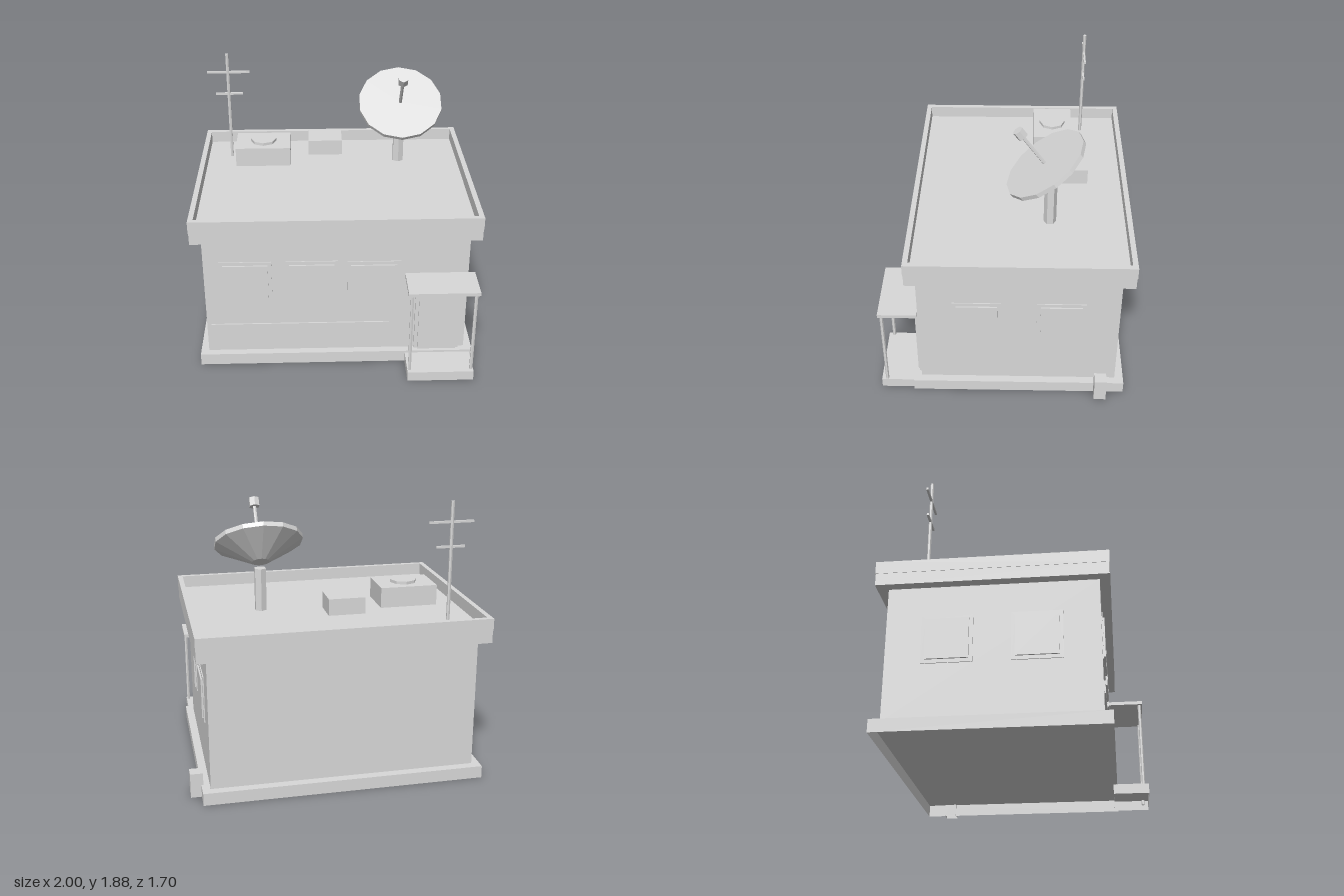
import * as THREE from 'three';

// Double-sided because the parts touching the ground are open underneath
const grey = new THREE.MeshStandardMaterial({ color: 0xd8d8d8, side: THREE.DoubleSide });
grey.name = 'light grey';

function add(parent, name, geometry, x = 0, y = 0, z = 0) {
  const mesh = new THREE.Mesh(geometry, grey);
  mesh.name = name;
  mesh.position.set(x, y, z);
  parent.add(mesh);
  return mesh;
}

// Box given by its limits on each axis
function box(parent, name, x0, x1, y0, y1, z0, z1) {
  return add(parent, name, new THREE.BoxGeometry(x1 - x0, y1 - y0, z1 - z0),
    (x0 + x1) / 2, (y0 + y1) / 2, (z0 + z1) / 2);
}

// Box standing on the ground without its bottom face
function openBox(parent, name, x0, x1, height, z0, z1) {
  const { geometry } = box(parent, name, x0, x1, 0, height, z0, z1);
  const index = Array.from(geometry.index.array);
  index.splice(18, 6);
  geometry.setIndex(index);
  geometry.clearGroups();
}

// Faceted upright cylinder from y0 to y1
function prism(parent, name, rTop, rBottom, y0, y1, sides, x = 0, z = 0) {
  const g = new THREE.CylinderGeometry(rTop, rBottom, y1 - y0, sides).toNonIndexed();
  g.computeVertexNormals();
  return add(parent, name, g, x, (y0 + y1) / 2, z);
}

// Upright rectangular ring with its back on z = 0
function frame(parent, name, w, h, border, depth) {
  const rect = (Type, a, b) => {
    const p = new Type();
    p.moveTo(-a, -b); p.lineTo(a, -b); p.lineTo(a, b); p.lineTo(-a, b); p.closePath();
    return p;
  };
  const shape = rect(THREE.Shape, w / 2, h / 2);
  shape.holes.push(rect(THREE.Path, w / 2 - border, h / 2 - border));
  return add(parent, name, new THREE.ExtrudeGeometry(shape, { depth, bevelEnabled: false }));
}

function makeWindow(parent, name, w, h, x, y, z, turn) {
  const g = new THREE.Group();
  g.name = name;
  frame(g, 'windowFrame', w, h, 0.025, 0.007);
  box(g, 'windowPane', -w / 2 + 0.025, w / 2 - 0.025, -h / 2 + 0.025, h / 2 - 0.025, 0, 0.018);
  g.position.set(x, y, z);
  g.rotation.y = turn;
  parent.add(g);
}

export function createModel() {
  const model = new THREE.Group();
  model.name = 'communicationsBuilding';

  // Foundation, walls and roof slab
  openBox(model, 'foundation', -0.983, 0.928, 0.085, -0.835, 0.627);
  box(model, 'walls', -0.928, 0.873, 0.085, 0.987, -0.775, 0.575);
  box(model, 'roofSlab', -0.997, 0.94, 0.987, 1.07, -0.849, 0.639);

  // Parapet around the roof
  const parapet = frame(model, 'parapet', 1.943, 1.494, 0.035, 0.085);
  parapet.rotation.x = -Math.PI / 2;
  parapet.position.set(-0.0285, 1.07, -0.105);

  // Windows on the front and both sides
  makeWindow(model, 'frontWindow', 0.355, 0.322, -0.645, 0.647, 0.575, 0);
  makeWindow(model, 'frontWindow', 0.355, 0.322, -0.195, 0.647, 0.575, 0);
  makeWindow(model, 'frontWindow', 0.365, 0.305, 0.228, 0.648, 0.575, 0);
  for (const z of [0.179, -0.384]) {
    makeWindow(model, 'leftWindow', 0.325, 0.325, 0.873, 0.618, z, Math.PI / 2);
    makeWindow(model, 'rightWindow', 0.325, 0.325, -0.928, 0.618, z, -Math.PI / 2);
  }
  box(model, 'wallBand', -0.897, 0.338, 0.228, 0.308, 0.575, 0.585);

  // Door and porch
  box(model, 'doorFrame', 0.518, 0.833, 0.085, 0.632, 0.575, 0.592);
  box(model, 'door', 0.543, 0.813, 0.085, 0.597, 0.592, 0.603);
  openBox(model, 'porchStep', 0.452, 0.907, 0.07, 0.6, 0.853);
  box(model, 'porchCanopy', 0.441, 0.918, 0.677, 0.701, 0.575, 0.837);
  for (const x of [0.467, 0.892]) prism(model, 'porchPost', 0.012, 0.012, 0.035, 0.677, 6, x, 0.815);

  // Utility box beside the wall
  openBox(model, 'utilityBox', 0.915, 1, 0.17, -0.71, -0.627);

  // Rooftop units
  box(model, 'coolingUnit', -0.732, -0.342, 1.155, 1.293, -0.472, -0.192);
  prism(model, 'coolingFan', 0.092, 0.092, 1.293, 1.313, 8, -0.534, -0.33);
  box(model, 'ventBox', -0.207, 0.04, 1.155, 1.267, -0.57, -0.373);

  // Aerial mast with two crossbars
  prism(model, 'aerialMast', 0.012, 0.012, 1.07, 1.883, 6, -0.79, -0.556);
  box(model, 'upperCrossbar', -0.941, -0.632, 1.736, 1.751, -0.563, -0.549);
  box(model, 'lowerCrossbar', -0.886, -0.687, 1.569, 1.584, -0.563, -0.549);

  // Satellite dish, tilted toward the front
  prism(model, 'dishPost', 0.042, 0.042, 1.145, 1.433, 6, 0.45, -0.301);
  const dish = new THREE.Group();
  dish.name = 'satelliteDish';
  prism(dish, 'dishRim', 0.297, 0.297, -0.018, 0.012, 14);
  prism(dish, 'dishBowl', 0.297, 0.06, -0.15, -0.018, 14);
  prism(dish, 'feedArm', 0.012, 0.012, 0.012, 0.25, 6);
  prism(dish, 'feedHorn', 0.036, 0.036, 0.25, 0.31, 6);
  dish.position.set(0.452, 1.607, -0.26);
  dish.rotation.x = 0.62;
  model.add(dish);

  return model;
}
